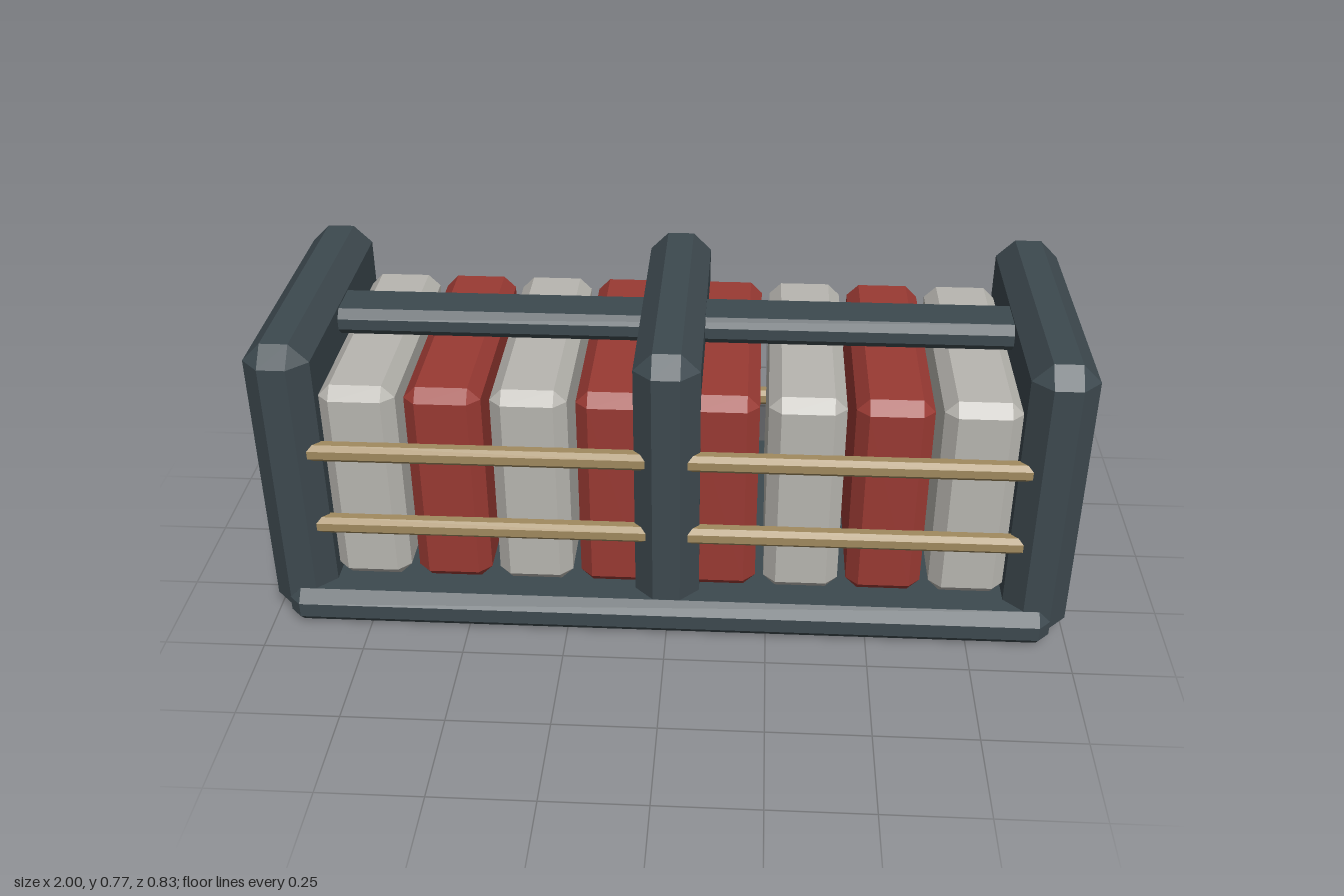
import * as THREE from 'three';
import { ConvexGeometry } from 'three/addons/geometries/ConvexGeometry.js';

// Box with every edge cut at 45 degrees
function chamferBox(w, h, d, c) {
  const half = [w / 2, h / 2, d / 2];
  const points = [];
  for (const sx of [-1, 1]) for (const sy of [-1, 1]) for (const sz of [-1, 1]) {
    for (let axis = 0; axis < 3; axis++) {
      const p = half.map((v, i) => (i === axis ? v : v - c));
      points.push(new THREE.Vector3(sx * p[0], sy * p[1], sz * p[2]));
    }
  }
  return new ConvexGeometry(points);
}

function material(name, color) {
  const m = new THREE.MeshStandardMaterial({ color, flatShading: true });
  m.name = name;
  return m;
}

export function createModel() {
  const group = new THREE.Group();
  group.name = 'cargoRack';
  const slate = material('slateFrame', 0x3d494f);
  const grey = material('paleGreyContainer', 0xb8b6b0);
  const red = material('redContainer', 0x9a3a33);
  const tan = material('tanRail', 0xa18a5f);

  const add = (name, geometry, mat, x, y, z) => {
    const mesh = new THREE.Mesh(geometry, mat);
    mesh.name = name;
    mesh.position.set(x, y, z);
    group.add(mesh);
  };

  // Base and three upright walls
  add('base', chamferBox(1.91, 0.096, 0.83, 0.029), slate, 0, 0.048, 0);
  const wall = chamferBox(0.16, 0.77, 0.77, 0.046);
  add('rightWall', wall, slate, -0.92, 0.385, 0);
  add('middleWall', wall, slate, 0, 0.385, 0);
  add('leftWall', wall, slate, 0.92, 0.385, 0);

  // Beam along the top, joining the walls
  add('topBeam', chamferBox(1.76, 0.07, 0.144, 0.021), slate, 0, 0.685, 0);

  const container = chamferBox(0.186, 0.55, 0.67, 0.03);
  const rail = chamferBox(0.86, 0.045, 0.045, 0.012);
  for (const side of [-1, 1]) {
    // Four containers in each bay, alternating in colour
    for (let i = 0; i < 4; i++) {
      add('container', container, i % 2 ? grey : red, side * (0.127 + i * 0.207), 0.37, 0);
    }
    // Two retaining rails on the front and back of each bay
    for (const z of [-0.345, 0.345]) for (const y of [0.272, 0.482]) {
      add('rail', rail, tan, side * 0.46, y, z);
    }
  }
  return group;
}
